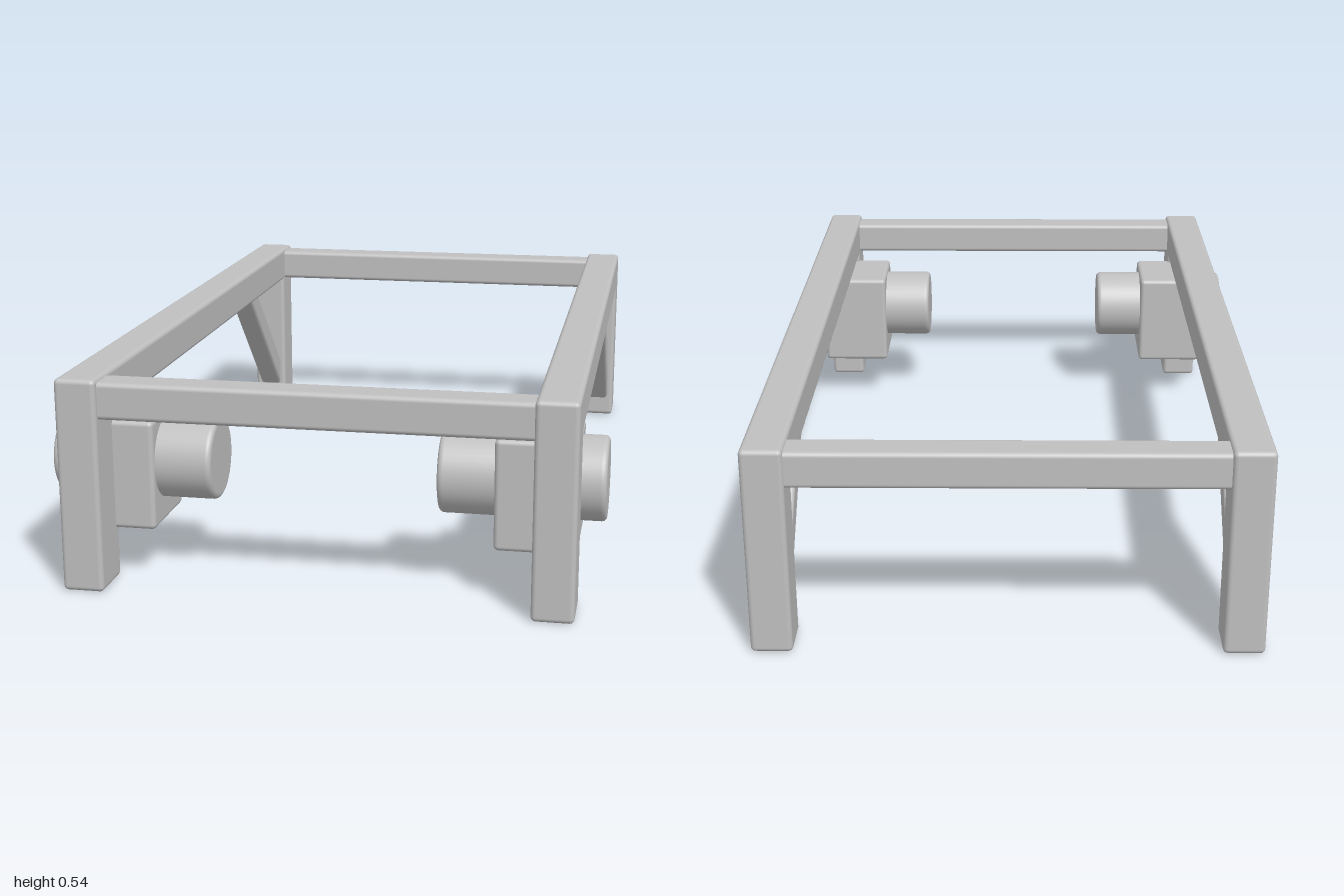
import * as THREE from 'three';
import { RoundedBoxGeometry } from 'three/addons/geometries/RoundedBoxGeometry.js';

const greyMetal = new THREE.MeshStandardMaterial({ color: 0xc0c0c0 });
greyMetal.name = 'grey metal';

// Soft-edged box between two corners
function softBox(name, [x0, y0, z0], [x1, y1, z1], radius = 0.012) {
  const geo = new RoundedBoxGeometry(x1 - x0, y1 - y0, z1 - z0, 3, radius);
  const mesh = new THREE.Mesh(geo, greyMetal);
  mesh.position.set((x0 + x1) / 2, (y0 + y1) / 2, (z0 + z1) / 2);
  mesh.name = name;
  return mesh;
}

// Cylinder along x with rounded rims
function softCylinder(name, radius, length, rim = 0.012) {
  const h = length / 2;
  const half = [];
  for (let i = 0; i <= 4; i++) {
    const a = (i / 4) * Math.PI / 2;
    half.push([radius - rim + rim * Math.sin(a), h - rim + rim * Math.cos(a)]);
  }
  half.unshift([0, h], [radius - rim - 0.002, h]);
  half.push([radius, h - rim - 0.002]);
  const profile = [
    ...half.map(([r, y]) => new THREE.Vector2(r, -y)),
    ...half.slice().reverse().map(([r, y]) => new THREE.Vector2(r, y)),
  ];
  const mesh = new THREE.Mesh(new THREE.LatheGeometry(profile, 48), greyMetal);
  mesh.rotation.z = Math.PI / 2;
  mesh.name = name;
  return mesh;
}

// Diagonal strut under the side beam, its ends sunk into beam and rear leg
function brace(x) {
  const top = new THREE.Vector3(x, 0.43, -0.555);
  const foot = new THREE.Vector3(x, 0.11, -0.88);
  const length = top.distanceTo(foot) + 0.1;
  const mesh = new THREE.Mesh(new RoundedBoxGeometry(0.07, 0.07, length, 3, 0.012), greyMetal);
  mesh.position.copy(top).add(foot).multiplyScalar(0.5);
  mesh.rotation.x = -Math.atan2(top.y - foot.y, top.z - foot.z);
  mesh.name = 'brace';
  return mesh;
}

export function createModel() {
  const model = new THREE.Group();
  model.name = 'frame';

  for (const side of [1, -1]) {
    const label = side > 0 ? 'left' : 'right';
    const inner = side > 0 ? 0.522 : -0.625;
    const outer = inner + 0.103;
    const group = new THREE.Group();
    group.name = label + 'Side';

    // Beam, legs and brace
    group.add(
      softBox('sideBeam', [inner, 0.43, -1], [outer, 0.535, 1]),
      softBox('frontLeg', [inner, 0, 0.865], [outer, 0.535, 1]),
      softBox('rearLeg', [inner, 0, -1], [outer, 0.535, -0.882]),
      brace(side * 0.5735),
    );

    // Bearing block with a roller through it
    const x = side * 0.52;
    group.add(softBox('bearingBlock', [x - 0.1, 0.13, 0.66], [x + 0.1, 0.407, 0.89]));
    const roller = softCylinder('roller', 0.104, 0.405);
    roller.position.set(side * 0.482, 0.292, 0.775);
    group.add(roller);
    model.add(group);
  }

  // Cross bars between the side beams
  model.add(
    softBox('frontCrossBar', [-0.54, 0.434, 0.895], [0.54, 0.526, 0.985]),
    softBox('rearCrossBar', [-0.54, 0.434, -0.99], [0.54, 0.526, -0.9]),
  );
  return model;
}
